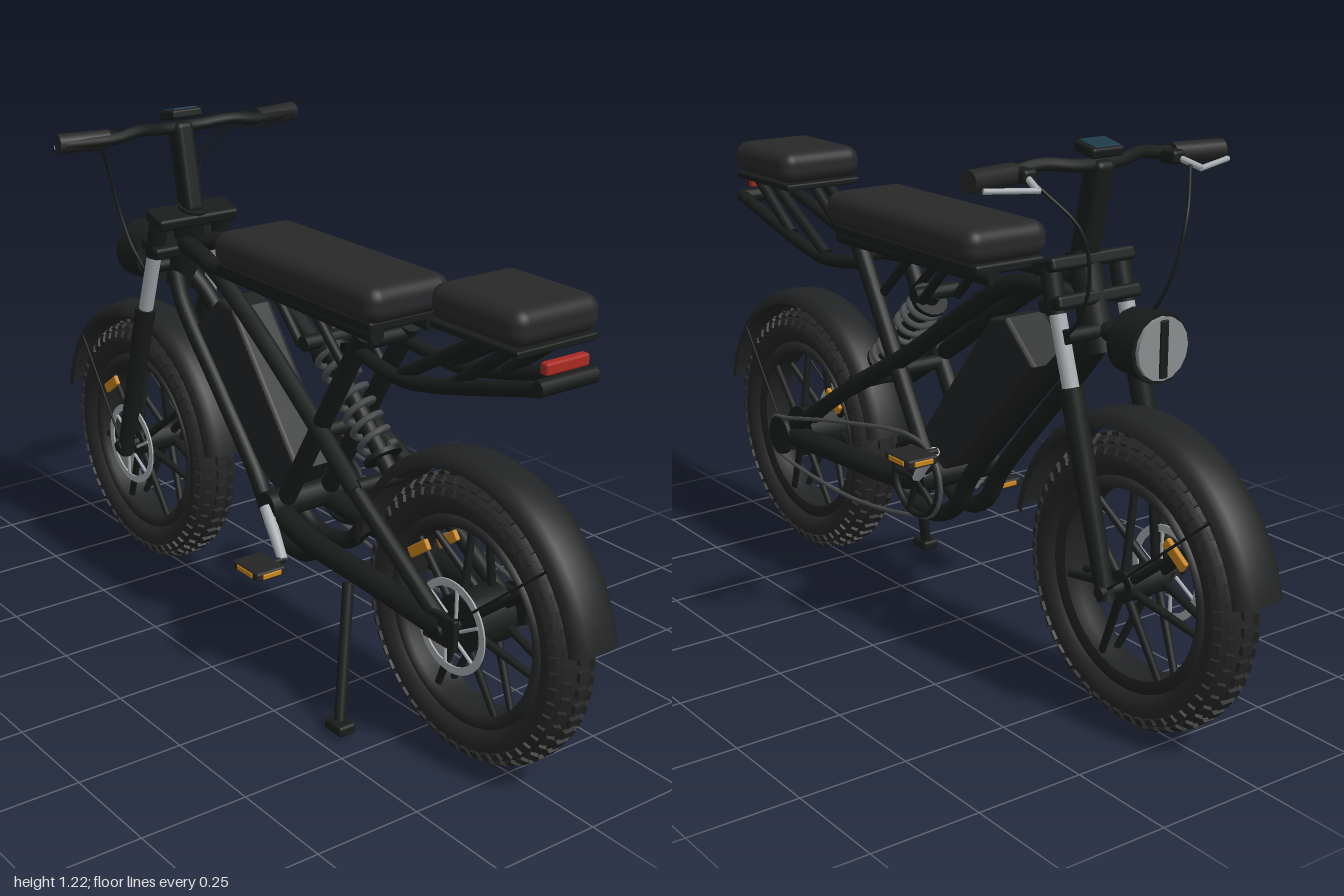
import * as THREE from 'three';
import { mergeGeometries } from 'three/addons/utils/BufferGeometryUtils.js';
import { RoundedBoxGeometry } from 'three/addons/geometries/RoundedBoxGeometry.js';

const paint = (color, side = THREE.FrontSide) => new THREE.MeshStandardMaterial({ color, side });
const BLACK = paint(0x1a1c1c), RUBBER = paint(0x252525), SEAT = paint(0x28282a);
const SHELL = paint(0x222324, THREE.DoubleSide), STEEL = paint(0xa8acb0), COIL = paint(0x4a4c4e);
const ORANGE = paint(0xc8841c), RED = paint(0xa82a22), TEAL = paint(0x1c3a48), LENS = paint(0x8a8c8e);
const V = (x, y, z = 0) => new THREE.Vector3(x, y, z);

function add(parent, name, geometry, material, position) {
  const mesh = new THREE.Mesh(geometry, material);
  mesh.name = name;
  if (position) mesh.position.copy(position);
  parent.add(mesh);
  return mesh;
}

// Straight round bar between two points
function rod(parent, name, a, b, r, material = BLACK, r2 = r) {
  const d = b.clone().sub(a);
  const mesh = add(parent, name, new THREE.CylinderGeometry(r2, r, d.length(), 16), material, a.clone().lerp(b, 0.5));
  mesh.quaternion.setFromUnitVectors(V(0, 1, 0), d.normalize());
  return mesh;
}

// Bent tube through points
function pipe(parent, name, points, r, material = BLACK, closed = false) {
  const curve = new THREE.CatmullRomCurve3(points, closed, 'centripetal');
  return add(parent, name, new THREE.TubeGeometry(curve, 64, r, 10, closed), material);
}

const box = (parent, name, w, h, d, material, p) =>
  add(parent, name, new RoundedBoxGeometry(w, h, d, 3, Math.min(w, h, d) * 0.3), material, p);

// Revolved ring about the z axis; profile is [radius, z]
const ring = (profile, start = 0, length = Math.PI * 2) => new THREE.LatheGeometry(
  profile.map(([r, z]) => new THREE.Vector2(r, z)), 72, start, length).rotateX(Math.PI / 2);

function brakeDisc(parent, z) {
  const disc = new THREE.Group();
  disc.name = 'brakeDisc';
  disc.position.z = z;
  const shape = new THREE.Shape().absarc(0, 0, 0.105, 0, Math.PI * 2);
  shape.holes.push(new THREE.Path().absarc(0, 0, 0.088, 0, Math.PI * 2));
  add(disc, 'discRing', new THREE.ExtrudeGeometry(shape, { depth: 0.004, bevelEnabled: false, curveSegments: 40 }), STEEL);
  for (let i = 0; i < 6; i++) {
    const a = i * Math.PI / 3;
    rod(disc, 'discArm', V(0.03 * Math.cos(a), 0.03 * Math.sin(a), 0.002),
      V(0.09 * Math.cos(a + 0.35), 0.09 * Math.sin(a + 0.35), 0.002), 0.004, STEEL);
  }
  parent.add(disc);
}

function wheel(name, x, hubRadius) {
  const g = new THREE.Group();
  g.name = name;
  g.position.set(x, 0.32, 0);
  // Fat tyre with staggered tread blocks
  const section = [];
  for (let i = 0; i <= 24; i++) {
    const t = -Math.PI + i * Math.PI / 12;
    section.push([0.266 + 0.044 * Math.cos(t), 0.056 * Math.sin(t)]);
  }
  add(g, 'tyre', ring(section), RUBBER);
  const knobs = [];
  for (let i = 0; i < 52; i++) {
    [-1.15, -0.62, 0, 0.62, 1.15].forEach((t, row) => {
      const k = new THREE.BoxGeometry(0.016, 0.021, row === 2 ? 0.026 : 0.017);
      k.rotateY(-t).translate(0.266 + 0.044 * Math.cos(t), 0, 0.054 * Math.sin(t));
      knobs.push(k.rotateZ((i + (row % 2) * 0.5) * Math.PI * 2 / 52));
    });
  }
  add(g, 'tread', mergeGeometries(knobs), RUBBER);
  add(g, 'rim', ring([[0.205, -0.035], [0.232, -0.04], [0.232, 0.04], [0.205, 0.035], [0.212, 0], [0.205, -0.035]]), SHELL);
  // Hub, axle and paired spokes
  rod(g, 'hub', V(0, 0, -0.055), V(0, 0, 0.055), hubRadius);
  rod(g, 'axle', V(0, 0, -0.115), V(0, 0, 0.115), 0.014);
  for (let i = 0; i < 7; i++) {
    const a = Math.PI / 2 + i * Math.PI * 2 / 7, c = Math.cos(a), s = Math.sin(a);
    for (const side of [-1, 1])
      rod(g, 'spoke', V(0.03 * c, 0.03 * s, side * 0.042), V(0.212 * c, 0.212 * s, side * 0.022), 0.01, BLACK, 0.008);
  }
  brakeDisc(g, 0.07);
  for (const side of [-1, 1]) {
    const reflector = box(g, 'wheelReflector', 0.07, 0.025, 0.012, ORANGE, V(-0.145, 0.115, side * 0.04));
    reflector.rotation.z = 0.62;
  }
  // Curved mudguard with wire stays
  const span = 158 * Math.PI / 180;
  add(g, 'mudguard', ring([[0.335, -0.06], [0.355, -0.055], [0.366, -0.035], [0.37, 0], [0.366, 0.035], [0.355, 0.055],
    [0.335, 0.06], [0.335, 0.056], [0.35, 0.05], [0.362, 0], [0.35, -0.05], [0.335, -0.056], [0.335, -0.06]],
    Math.PI - span / 2, span), SHELL);
  const dir = Math.sign(x);
  for (const side of [-1, 1])
    rod(g, 'mudguardStay', V(0, 0, side * 0.1), V(dir * 0.26, 0.225, side * 0.058), 0.003);
  return g;
}

export function createModel() {
  const model = new THREE.Group();
  model.name = 'electricBike';
  model.add(wheel('frontWheel', -0.637, 0.035), wheel('rearWheel', 0.635, 0.065));

  const frame = new THREE.Group(), fork = new THREE.Group(), drive = new THREE.Group(), seats = new THREE.Group();
  frame.name = 'frame'; fork.name = 'frontFork'; drive.name = 'drivetrain'; seats.name = 'seats';
  model.add(frame, fork, drive, seats);

  // Mirrored frame tubes, swingarm and rear rack
  for (const s of [1, -1]) {
    pipe(frame, 'upperTube', [V(-0.44, 0.89, s * 0.02), V(-0.36, 0.905, s * 0.05), V(-0.26, 0.885, s * 0.06),
      V(-0.1, 0.79, s * 0.06), V(0.12, 0.645, s * 0.065), V(0.33, 0.52, s * 0.085)], 0.022);
    rod(frame, 'upperStay', V(0.33, 0.52, s * 0.085), V(0.635, 0.325, s * 0.09), 0.019);
    pipe(frame, 'downTube', [V(-0.48, 0.81, s * 0.02), V(-0.42, 0.75, s * 0.04), V(-0.25, 0.57, s * 0.045),
      V(-0.1, 0.4, s * 0.045), V(-0.05, 0.32, s * 0.045), V(0.02, 0.28, s * 0.05), V(0.12, 0.29, s * 0.06),
      V(0.18, 0.35, s * 0.065)], 0.021);
    rod(frame, 'seatTube', V(0.32, 0.87, s * 0.062), V(0.04, 0.4, s * 0.062), 0.022);
    rod(frame, 'seatRail', V(-0.23, 0.895, s * 0.075), V(0.38, 0.885, s * 0.075), 0.018);
    rod(frame, 'seatStrut', V(-0.02, 0.88, s * 0.05), V(0.08, 0.78, s * 0.05), 0.011);
    rod(frame, 'seatStrut', V(0.13, 0.87, s * 0.05), V(0.25, 0.76, s * 0.05), 0.011);
    pipe(frame, 'swingarm', [V(0.0, 0.37, s * 0.07), V(0.15, 0.345, s * 0.085), V(0.4, 0.335, s * 0.09),
      V(0.635, 0.322, s * 0.092)], 0.028);
    box(frame, 'dropout', 0.1, 0.07, 0.014, BLACK, V(0.635, 0.325, s * 0.1));
    pipe(frame, 'rackTube', [V(0.3, 0.83, s * 0.065), V(0.46, 0.815, s * 0.075), V(0.56, 0.83, s * 0.075),
      V(0.86, 0.91, s * 0.075)], 0.016);
    rod(frame, 'rackStrut', V(0.46, 0.825, s * 0.07), V(0.7, 0.965, s * 0.07), 0.014);
    rod(frame, 'rackStrut', V(0.62, 0.85, s * 0.07), V(0.78, 0.965, s * 0.07), 0.014);
  }
  for (const [x, y, z] of [[0.31, 0.85, 0.065], [0.855, 0.908, 0.075], [0.33, 0.53, 0.085], [0.1, 0.79, 0.06], [0.16, 0.6, 0.06]])
    rod(frame, 'crossBar', V(x, y, -z), V(x, y, z), 0.018);
  rod(frame, 'headTube', V(-0.495, 0.78), V(-0.43, 0.985), 0.036);
  add(frame, 'tailLight', new RoundedBoxGeometry(0.022, 0.026, 0.112, 3, 0.006), RED, V(0.852, 0.943, 0));
  rod(frame, 'tailLightBracket', V(0.84, 0.905), V(0.843, 0.945), 0.012);

  // Battery pack
  const pack = new THREE.Shape([[-0.33, 0.72], [-0.24, 0.8], [-0.19, 0.79], [0.06, 0.475], [0, 0.4], [-0.07, 0.44]]
    .map(([x, y]) => new THREE.Vector2(x, y)));
  add(frame, 'battery', new THREE.ExtrudeGeometry(pack, { depth: 0.09, bevelSize: 0.008, bevelThickness: 0.012, bevelSegments: 3 }),
    SHELL, V(0, 0, -0.045));

  // Coil shock absorber
  const top = V(0.1, 0.79), bottom = V(0.34, 0.55), axis = bottom.clone().sub(top).normalize();
  rod(frame, 'shockBody', top, bottom, 0.02);
  const across = V(-axis.y, axis.x), coil = [];
  for (let i = 0; i <= 112; i++) {
    const a = i * Math.PI / 8;
    coil.push(top.clone().lerp(bottom, 0.1 + 0.75 * i / 112).addScaledVector(across, 0.037 * Math.cos(a))
      .add(V(0, 0, 0.037 * Math.sin(a))));
  }
  add(frame, 'shockSpring', new THREE.TubeGeometry(new THREE.CatmullRomCurve3(coil), 200, 0.008, 6), COIL);
  for (const t of [0.08, 0.87])
    rod(frame, 'springSeat', top.clone().lerp(bottom, t), top.clone().lerp(bottom, t + 0.03), 0.045);

  // Kickstand
  rod(frame, 'kickstand', V(0.33, 0.31, 0.105), V(0.41, 0.025, 0.187), 0.013);
  box(frame, 'kickstandFoot', 0.06, 0.025, 0.045, BLACK, V(0.415, 0.022, 0.19));

  // Fork legs and crowns
  for (const s of [1, -1]) {
    rod(fork, 'lowerLeg', V(-0.637, 0.3, s * 0.092), V(-0.512, 0.725, s * 0.092), 0.02, BLACK, 0.026);
    rod(fork, 'stanchion', V(-0.512, 0.72, s * 0.092), V(-0.46, 0.885, s * 0.092), 0.018, STEEL);
    rod(fork, 'upperLeg', V(-0.463, 0.87, s * 0.092), V(-0.437, 0.965, s * 0.092), 0.023);
  }
  for (const [x, y] of [[-0.458, 0.89], [-0.435, 0.965]])
    box(fork, 'forkCrown', 0.075, 0.03, 0.225, BLACK, V(x, y, 0)).rotation.z = -0.3;

  // Stem, handlebar, grips, levers and cables
  const stem = box(fork, 'stem', 0.055, 0.22, 0.05, BLACK, V(-0.458, 1.075, 0));
  stem.rotation.z = 0.21;
  pipe(fork, 'handlebar', [V(-0.47, 1.17, -0.32), V(-0.45, 1.172, -0.2), V(-0.455, 1.18, -0.13), V(-0.475, 1.172, -0.05),
    V(-0.475, 1.172, 0.05), V(-0.455, 1.18, 0.13), V(-0.45, 1.172, 0.2), V(-0.47, 1.17, 0.32)], 0.014);
  for (const s of [1, -1]) {
    rod(fork, 'grip', V(-0.462, 1.17, s * 0.21), V(-0.482, 1.17, s * 0.332), 0.023, RUBBER);
    box(fork, 'leverClamp', 0.05, 0.03, 0.035, BLACK, V(-0.48, 1.168, s * 0.195));
    rod(fork, 'brakeLever', V(-0.5, 1.165, s * 0.2), V(-0.55, 1.15, s * 0.215), 0.007, STEEL);
    rod(fork, 'brakeLever', V(-0.55, 1.15, s * 0.21), V(-0.515, 1.155, s * 0.32), 0.006, STEEL);
    pipe(fork, 'brakeCable', [V(-0.53, 1.155, s * 0.2), V(-0.59, 1.07, s * 0.14), V(-0.59, 0.97, s * 0.115),
      V(-0.55, 0.88, s * 0.105), V(-0.5, 0.83, s * 0.1)], 0.004);
  }
  const display = box(fork, 'display', 0.065, 0.022, 0.084, BLACK, V(-0.475, 1.203, 0));
  box(display, 'displayScreen', 0.052, 0.006, 0.066, TEAL, V(0, 0.011, 0));
  display.rotation.z = 0.2;

  // Headlight
  rod(fork, 'headlightShell', V(-0.675, 0.83), V(-0.59, 0.83), 0.075, BLACK, 0.068);
  rod(fork, 'headlightLens', V(-0.684, 0.83), V(-0.67, 0.83), 0.066, LENS);
  box(fork, 'headlightBar', 0.01, 0.12, 0.02, BLACK, V(-0.684, 0.83, 0));
  rod(fork, 'headlightBracket', V(-0.6, 0.83), V(-0.49, 0.83), 0.02);
  rod(fork, 'headlightCrossBar', V(-0.5, 0.83, -0.1), V(-0.5, 0.83, 0.1), 0.016);

  // Chainring, chain, cranks and pedals
  const cx = 0.018, cy = 0.38;
  rod(drive, 'bottomBracket', V(cx, cy, -0.115), V(cx, cy, 0.105), 0.035);
  add(drive, 'chainring', new THREE.TorusGeometry(0.088, 0.008, 8, 48), BLACK, V(cx, cy, -0.112));
  for (let i = 0; i < 5; i++) {
    const a = i * Math.PI * 0.4;
    rod(drive, 'chainringArm', V(cx, cy, -0.112), V(cx + 0.088 * Math.cos(a), cy + 0.088 * Math.sin(a), -0.112), 0.008);
  }
  rod(drive, 'rearSprocket', V(0.635, 0.32, -0.118), V(0.635, 0.32, -0.105), 0.05);
  pipe(drive, 'chain', [[-0.08, 0.38], [-0.05, 0.45], [0.03, 0.477], [0.3, 0.44], [0.6, 0.375], [0.67, 0.36], [0.688, 0.32],
    [0.67, 0.28], [0.6, 0.262], [0.3, 0.247], [0.05, 0.28], [-0.05, 0.31]].map(([x, y]) => V(x, y, -0.112)), 0.005, COIL, true);
  for (const s of [1, -1]) {
    const px = cx + s * 0.093, py = cy - s * 0.093;
    rod(drive, 'crankArm', V(cx, cy, s * 0.105), V(px, py, s * 0.125), 0.016, STEEL, 0.012);
    rod(drive, 'pedalAxle', V(px, py, s * 0.12), V(px, py, s * 0.2), 0.008);
    box(drive, 'pedal', 0.1, 0.022, 0.08, RUBBER, V(px, py, s * 0.19));
    for (const e of [-1, 1]) box(drive, 'pedalReflector', 0.008, 0.012, 0.05, ORANGE, V(px + e * 0.049, py, s * 0.19));
    box(drive, 'pedalSideReflector', 0.06, 0.012, 0.006, ORANGE, V(px, py, s * 0.229));
  }

  // Main seat and raised rear seat
  add(seats, 'mainSeat', new RoundedBoxGeometry(0.595, 0.082, 0.225, 5, 0.034), SEAT, V(0.108, 0.954, 0));
  box(seats, 'mainSeatBase', 0.57, 0.025, 0.19, BLACK, V(0.095, 0.905, 0));
  add(seats, 'rearSeat', new RoundedBoxGeometry(0.265, 0.078, 0.225, 5, 0.032), SEAT, V(0.707, 1.019, 0));
  box(seats, 'rearSeatBase', 0.255, 0.016, 0.21, BLACK, V(0.705, 0.972, 0));
  return model;
}
